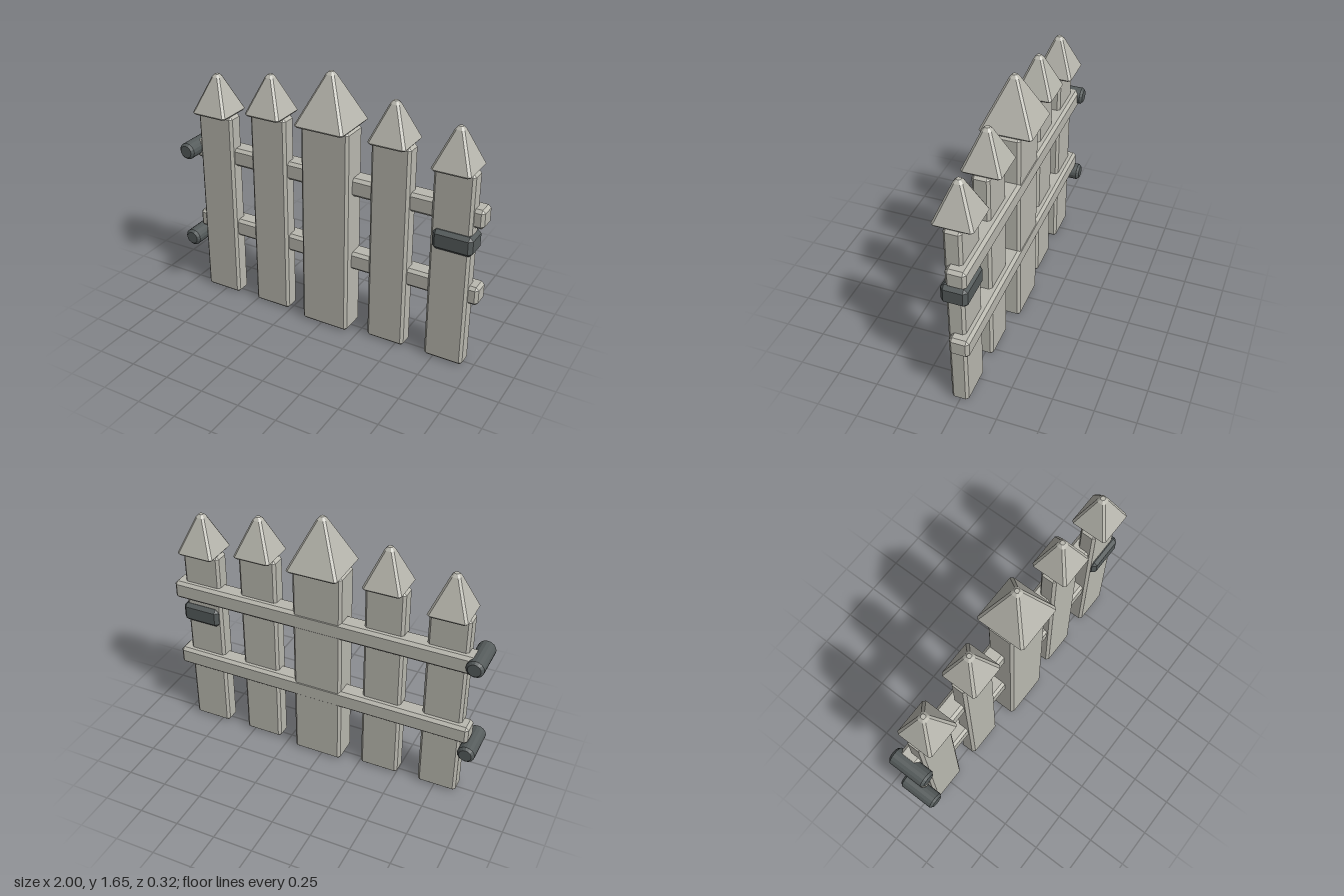
import * as THREE from 'three';
import { ConvexGeometry } from 'three/addons/geometries/ConvexGeometry.js';

const stone = new THREE.MeshStandardMaterial({ color: 0xbab9b0 });
stone.name = 'pale grey wood';
const iron = new THREE.MeshStandardMaterial({ color: 0x555b5b });
iron.name = 'dark iron';

function part(name, geometry, material, x, y, z) {
  const mesh = new THREE.Mesh(geometry, material);
  mesh.name = name;
  mesh.position.set(x, y, z);
  return mesh;
}

// Box with every edge cut by a flat chamfer c, centred on the origin
function chamferBox(w, h, d, c) {
  const pts = [];
  for (const sx of [-1, 1]) for (const sy of [-1, 1]) for (const sz of [-1, 1]) {
    const x = w / 2, y = h / 2, z = d / 2;
    pts.push(
      new THREE.Vector3(sx * x, sy * (y - c), sz * (z - c)),
      new THREE.Vector3(sx * (x - c), sy * y, sz * (z - c)),
      new THREE.Vector3(sx * (x - c), sy * (y - c), sz * z));
  }
  return new ConvexGeometry(pts);
}

// Square pyramid with cut corners, a small lip and a blunted tip; base at y = 0
function capGeometry(half, height) {
  const levels = [
    [0, half - 0.01, 0.012], [0.012, half, 0.014],
    [height - 0.018, 0.028, 0.012], [height, 0.013, 0.006],
  ];
  const pts = [];
  for (const [y, r, c] of levels)
    for (const sx of [-1, 1]) for (const sz of [-1, 1])
      pts.push(new THREE.Vector3(sx * r, y, sz * (r - c)), new THREE.Vector3(sx * (r - c), y, sz * r));
  return new ConvexGeometry(pts);
}

// Short bar lying along z with chamfered ends
function hingeGeometry(r, length) {
  const c = 0.015, h = length / 2;
  const profile = [[0, -h], [r - c, -h], [r, c - h], [r, h - c], [r - c, h], [0, h]];
  const geo = new THREE.LatheGeometry(profile.map(([x, y]) => new THREE.Vector2(x, y)), 16)
    .rotateX(Math.PI / 2).toNonIndexed();
  geo.computeVertexNormals();
  return geo;
}

export function createModel() {
  const gate = new THREE.Group();
  gate.name = 'fenceGate';

  // Pickets with pointed caps: x, width, depth, picket top, cap half width, tip
  const pickets = [
    [-0.765, 0.245, 0.105, 1.248, 0.118, 1.495],
    [-0.382, 0.245, 0.105, 1.316, 0.118, 1.562],
    [0.025, 0.314, 0.176, 1.337, 0.16, 1.655],
    [0.43, 0.245, 0.105, 1.316, 0.118, 1.562],
    [0.815, 0.245, 0.105, 1.248, 0.118, 1.495],
  ];
  for (const [x, w, d, top, half, tip] of pickets) {
    const picket = new THREE.Group();
    picket.name = 'picket';
    picket.add(part('picketPost', chamferBox(w, top, d, 0.016), stone, 0, top / 2, 0));
    picket.add(part('picketCap', capGeometry(half, tip - top), stone, 0, top, 0));
    picket.position.x = x;
    gate.add(picket);
  }

  // Thin collar under the middle cap
  gate.add(part('capCollar', new THREE.BoxGeometry(0.235, 0.03, 0.22), stone, 0.025, 1.335, 0));

  // Cross rails set towards the back
  for (const y of [0.976, 0.48])
    gate.add(part('rail', chamferBox(1.936, 0.118, 0.12, 0.018), stone, 0.027, y, -0.032));

  // Hinge pins
  for (const y of [0.985, 0.37])
    gate.add(part('hingePin', hingeGeometry(0.054, 0.248), iron, -0.946, y, 0.002));

  // Latch block wrapped around the end picket
  gate.add(part('latch', chamferBox(0.246, 0.125, 0.158, 0.022), iron, 0.834, 0.815, 0.002));

  return gate;
}
